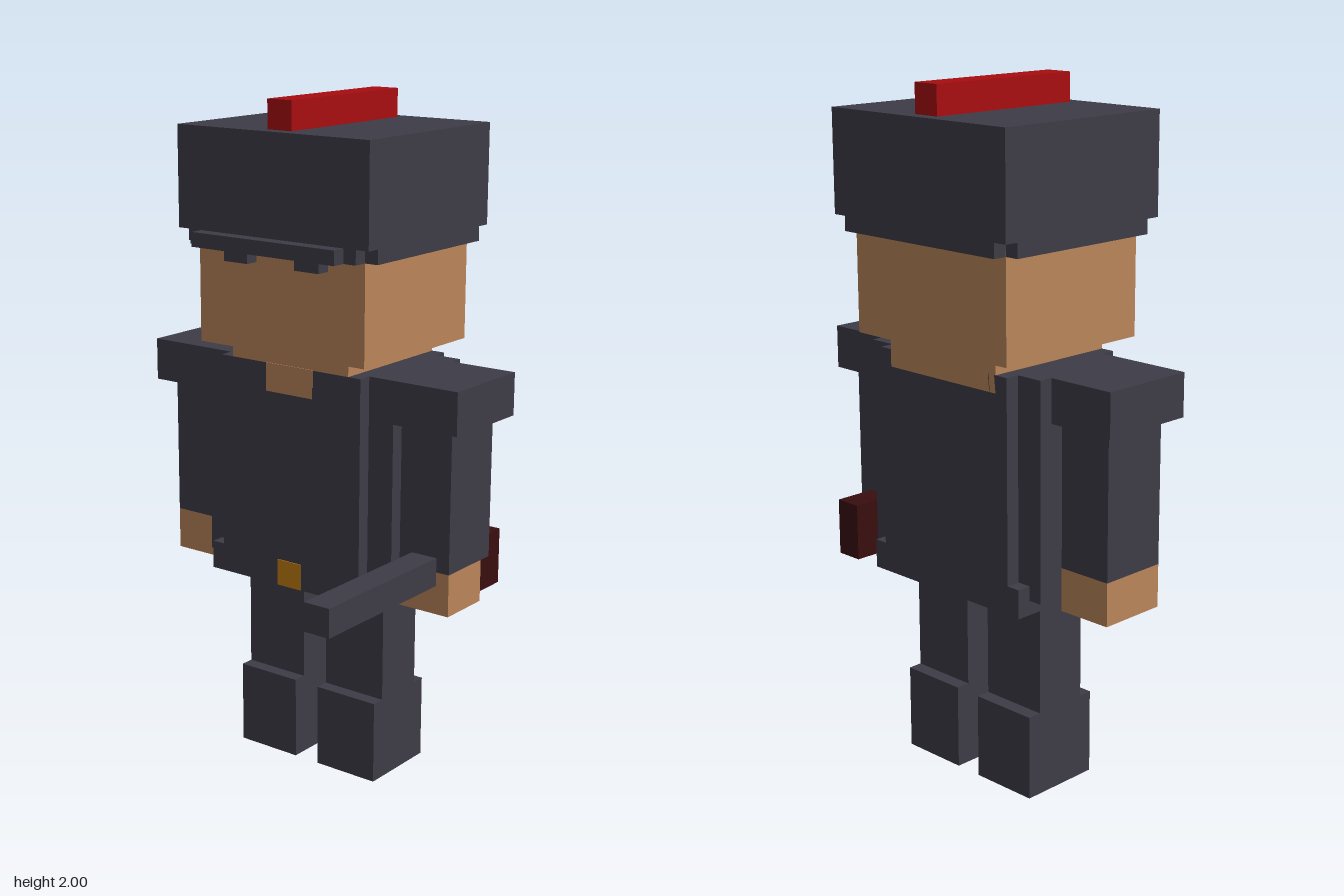
import * as THREE from 'three';

const mat = (name, color) => {
  const m = new THREE.MeshStandardMaterial({ color });
  m.name = name;
  return m;
};

export function createModel() {
  const cloth = mat('charcoal cloth', 0x3d3c47);
  const skin = mat('skin', 0xba855a);
  const red = mat('red', 0xa80d10);
  const gold = mat('gold', 0xbf7a10);
  const maroon = mat('dark maroon', 0x3a0e0f);
  const model = new THREE.Group();
  model.name = 'blockFigure';

  // Box given by its extents on each axis
  const box = (name, m, [x0, x1], [y0, y1], [z0, z1], parent = model) => {
    const mesh = new THREE.Mesh(new THREE.BoxGeometry(x1 - x0, y1 - y0, z1 - z0), m);
    mesh.position.set((x0 + x1) / 2, (y0 + y1) / 2, (z0 + z1) / 2);
    mesh.name = name;
    parent.add(mesh);
    return mesh;
  };

  // Horizontal slab whose four corners are cut back by a square step
  const notchedSlab = (name, m, w, [y0, y1], [z0, z1], nx, nz) => {
    const s = new THREE.Shape();
    const d = (z1 - z0) / 2;
    const pts = [[w - nx, -d], [w - nx, nz - d], [w, nz - d], [w, d - nz], [w - nx, d - nz], [w - nx, d]];
    const ring = pts.concat(pts.map(([x, z]) => [-x, -z]));
    s.setFromPoints(ring.map(([x, z]) => new THREE.Vector2(x, z)));
    const g = new THREE.ExtrudeGeometry(s, { depth: y1 - y0, bevelEnabled: false });
    g.rotateX(-Math.PI / 2);
    g.translate(0, y0, (z0 + z1) / 2);
    const mesh = new THREE.Mesh(g, m);
    mesh.name = name;
    model.add(mesh);
  };

  // Hat with stepped lower corners, crest and brim
  box('hat', cloth, [-0.333, 0.333], [1.625, 1.917], [-0.458, 0.125]);
  notchedSlab('hatRim', cloth, 0.333, [1.583, 1.625], [-0.458, 0.125], 0.042, 0.042);
  box('hatCrest', red, [-0.042, 0.042], [1.917, 2], [-0.417, 0.083]);
  box('hatBrim', cloth, [-0.25, 0.25], [1.583, 1.625], [0.125, 0.167]);

  // Head and neck
  box('head', skin, [-0.292, 0.292], [1.292, 1.6], [-0.417, 0.083]);
  box('neck', skin, [-0.208, 0.208], [1.2, 1.292], [-0.375, 0.0415]);
  box('openCollar', skin, [-0.083, 0.083], [1.167, 1.251], [0.036, 0.044]);

  // Torso with stepped corners, belt and buckle
  notchedSlab('torso', cloth, 0.333, [0.667, 1.25], [-0.375, 0.042], 0.083, 0.042);
  box('torsoHem', cloth, [-0.333, 0.333], [0.625, 0.668], [-0.333, 0]);
  box('belt', cloth, [-0.292, 0.292], [0.583, 0.667], [-0.375, 0.042]);
  box('buckle', gold, [-0.042, 0.042], [0.584, 0.663], [0.037, 0.045]);

  // Limbs on both sides
  for (const side of [1, -1]) {
    const label = side > 0 ? 'left' : 'right';
    const span = (a, b) => (side > 0 ? [a, b] : [-b, -a]);
    box(label + 'Eye', cloth, span(0.083, 0.167), [1.546, 1.59], [0.08, 0.125]);
    box(label + 'Shoulder', cloth, span(0.333, 0.542), [1.125, 1.25], [-0.292, 0]);
    box(label + 'Arm', cloth, span(0.333, 0.5), [0.708, 1.125], [-0.25, -0.042]);
    box(label + 'Hand', skin, span(0.333, 0.5), [0.583, 0.708], [side > 0 ? -0.208 : -0.25, -0.042]);
    box(label + 'Leg', cloth, span(0.042, 0.25), [0.25, 0.583], [-0.25, -0.083]);
    box(label + 'Boot', cloth, span(0.042, 0.25), [0, 0.25], [-0.292, -0.042]);
  }

  // Long tool held in the left hand
  const tool = new THREE.Group();
  tool.name = 'heldTool';
  model.add(tool);
  box('toolBarrel', cloth, [0.375, 0.458], [0.667, 0.75], [-0.06, 0.458], tool);
  box('toolGrip', maroon, [0.375, 0.458], [0.583, 0.75], [-0.375, -0.208], tool);

  return model;
}
